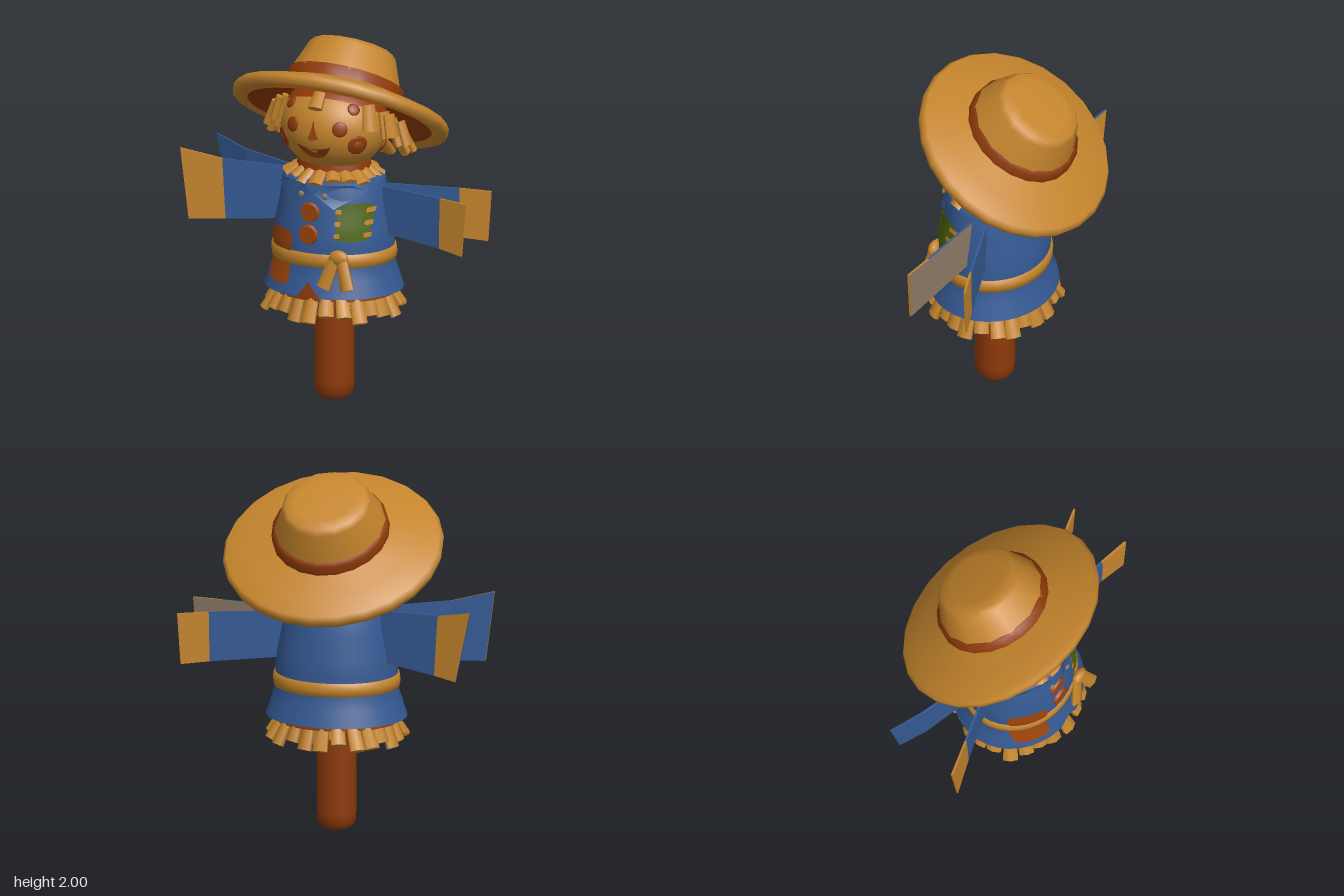
import * as THREE from 'three';
import { mergeGeometries } from 'three/addons/utils/BufferGeometryUtils.js';

const mat = (name, color, side = THREE.FrontSide) => {
  const m = new THREE.MeshStandardMaterial({ color, side });
  m.name = name;
  return m;
};

export function createModel() {
  const straw = mat('straw', 0xc4842c, THREE.DoubleSide);
  const blue = mat('blue cloth', 0x355a94, THREE.DoubleSide);
  const rust = mat('rust brown', 0x8e3a09, THREE.DoubleSide);
  const orange = mat('button orange', 0x9c440c, THREE.DoubleSide);
  const green = mat('green patch', 0x4d660a, THREE.DoubleSide);
  const lining = mat('grey lining', 0x8c7a66, THREE.DoubleSide);

  const root = new THREE.Group();
  const CZ = 0.11, SQUASH = 0.88;
  const add = (name, geo, material, parent = root) => {
    const m = new THREE.Mesh(geo, material);
    m.name = name;
    parent.add(m);
    return m;
  };
  const v2 = (pts) => pts.map(([x, y]) => new THREE.Vector2(x, y));
  const lathe = (pts, n = 32) => new THREE.LatheGeometry(v2(pts), n);

  // Surface helpers: drape a flat geometry over the coat or the face
  const coatProfile = [[0.385, 0.635], [0.355, 0.73], [0.33, 0.81], [0.335, 0.9], [0.325, 1.0], [0.3, 1.12], [0.285, 1.24], [0.26, 1.265], [0.17, 1.285]];
  const coatRadius = (y) => {
    for (let i = 1; i < coatProfile.length; i++) {
      const [r0, y0] = coatProfile[i - 1], [r1, y1] = coatProfile[i];
      if (y <= y1) return r0 + (r1 - r0) * Math.max(0, (y - y0) / (y1 - y0));
    }
    return 0.17;
  };
  const coatZ = (x, y) => CZ + SQUASH * Math.sqrt(Math.max(0, coatRadius(y) ** 2 - x * x));
  const HEAD = { x: 0.295, y: 0.25, z: 0.265, cy: 1.53 };
  const faceZ = (x, y) => CZ + HEAD.z * Math.sqrt(Math.max(0, 1 - (x / HEAD.x) ** 2 - ((y - HEAD.cy) / HEAD.y) ** 2));
  const drape = (geo, surface, lift) => {
    const p = geo.attributes.position;
    for (let i = 0; i < p.count; i++) p.setZ(i, surface(p.getX(i), p.getY(i)) + lift);
    geo.computeVertexNormals();
    return geo;
  };

  // Post
  add('post', lathe([[0, 0], [0.075, 0.005], [0.105, 0.04], [0.11, 0.1], [0.108, 0.7]], 12).translate(0, 0, CZ), rust);

  // Coat with a notch in the front hem
  const coat = lathe(coatProfile, 36);
  const cp = coat.attributes.position;
  for (let i = 0; i < cp.count; i++) {
    if (cp.getY(i) < 0.65 && cp.getZ(i) > 0 && Math.abs(cp.getX(i)) < 0.01) cp.setY(i, 0.725);
  }
  add('coat', coat.scale(1, 1, SQUASH).translate(0, 0, CZ), blue);
  add('underskirt', new THREE.CylinderGeometry(0.325, 0.34, 0.1, 28).scale(1, 1, SQUASH).translate(0, 0.66, CZ), rust);
  add('belt', lathe([[0.32, 0.795], [0.343, 0.8], [0.348, 0.835], [0.343, 0.872], [0.32, 0.877]], 36)
    .scale(1, 1, SQUASH).translate(0, 0, CZ), straw);

  // Belt knot and tails
  add('beltKnot', new THREE.SphereGeometry(0.045, 10, 8).scale(1.3, 1, 0.7).translate(0.16, 0.862, 0.395), straw);
  for (const s of [-1, 1]) {
    const tail = new THREE.CylinderGeometry(0.035, 0.043, 0.2, 6).scale(1, 1, 0.5).translate(0, -0.1, 0);
    add('beltTail', tail.rotateZ(s * 0.3).rotateX(-0.2).translate(0.157 + s * 0.012, 0.885, 0.395), straw);
  }

  // Straw strands, each hung from its top end
  const strand = (x, y, z, angle, flare, len, w) =>
    new THREE.CylinderGeometry(w * 0.45, w * 0.55, len, 6).scale(1, 1, 0.55)
      .translate(0, -len / 2, 0).rotateX(-flare).rotateY(angle).translate(x, y, z);
  const fringe = (name, n, r, y, len, w, flare, shift = 0) => {
    const list = [];
    for (let i = 0; i < n; i++) {
      const a = ((i + shift) / n) * Math.PI * 2, v = Math.sin(i * 7.3);
      list.push(strand(r * Math.sin(a), y, CZ + SQUASH * r * Math.cos(a), a + v * 0.12, flare + v * 0.12, len * (1 + 0.16 * Math.cos(i * 4.1)), w));
    }
    add(name, mergeGeometries(list), straw);
  };
  fringe('skirtStraw', 24, 0.3, 0.645, 0.145, 0.085, 0.45);
  fringe('innerSkirtStraw', 14, 0.25, 0.63, 0.1, 0.085, 0.35, 0.5);
  fringe('neckStraw', 18, 0.19, 1.3, 0.085, 0.085, 0.95);

  // Neck tie and collar
  add('neckBand', new THREE.CylinderGeometry(0.2, 0.215, 0.07, 24).scale(1, 1, SQUASH).translate(0, 1.305, CZ), rust);
  for (const s of [-1, 1]) {
    const flap = new THREE.ShapeGeometry(new THREE.Shape(v2([[0.01, 1.2], [0.12, 1.125], [0.265, 1.215], [0.2, 1.25], [0.05, 1.25]].map(([x, y]) => [s * x, y]))));
    add('collar', drape(flap, coatZ, 0.025), blue);
    add('collarBead', new THREE.SphereGeometry(0.018, 8, 6).scale(1, 1, 0.5).translate(s * 0.07, 1.195, coatZ(0.07, 1.195) + 0.025), lining);
  }

  // Buttons and rounded sewn patches
  for (const y of [0.975, 1.095]) {
    add('button', new THREE.CylinderGeometry(0.05, 0.058, 0.016, 12).rotateX(Math.PI / 2).translate(-0.02, y, coatZ(0, y) + 0.005), orange);
  }
  const patch = (name, x, y, w, h, material, lift = 0.008) => {
    const g = new THREE.PlaneGeometry(w, h, 8, 8), p = g.attributes.position;
    for (let i = 0; i < p.count; i++) {
      const u = p.getX(i) / w, v = p.getY(i) / h;
      p.setXY(i, x + u * w * (1 - 0.5 * v * v), y + v * h * (1 - 0.4 * u * u));
    }
    add(name, drape(g, coatZ, lift), material);
  };
  patch('greenPatch', 0.21, 1.048, 0.155, 0.205, green, 0.009);
  patch('upperRustPatch', -0.21, 0.918, 0.175, 0.13, orange);
  patch('lowerRustPatch', -0.215, 0.755, 0.17, 0.135, orange);
  for (const y of [0.98, 1.045, 1.11]) {
    for (const x of [0.14, 0.275]) patch('stitch', x, y, 0.03, 0.026, straw, 0.011);
  }

  // Sleeves: open pairs of thin cloth panels; columns are [xBottom, yBottom, xTop, yTop, z]
  const slab = (name, s, c0, c1, front, back) => {
    const g = new THREE.BoxGeometry(1, 1, 1), p = g.attributes.position;
    for (let i = 0; i < p.count; i++) {
      const u = 0.5 + s * p.getX(i), v = p.getY(i) + 0.5;
      const c = c0.map((k, j) => k + (c1[j] - k) * u);
      p.setXYZ(i, s * (c[0] + (c[2] - c[0]) * v), c[1] + (c[3] - c[1]) * v, c[4] + p.getZ(i) * 0.012);
    }
    g.computeVertexNormals();
    add(name, g, [front, front, front, front, front, back]);
  };
  // The first pair of materials is seen from the front, the second from behind: [sleeve, cuff]
  const sleeve = (name, s, cols, front, back) => {
    slab(name + 'Sleeve', s, cols[0], cols[1], front[0], back[0]);
    slab(name + 'Cuff', s, cols[1], cols[2], front[1], back[1]);
  };
  const cuffed = [blue, straw], plain = [blue, blue];
  sleeve('leftFront', 1, [[0.22, 0.96, 0.22, 1.215, 0.1], [0.66, 0.925, 0.665, 1.205, 0.185], [0.81, 0.905, 0.835, 1.2, 0.22]], cuffed, [lining, lining]);
  sleeve('leftBack', 1, [[0.2, 0.96, 0.2, 1.21, 0.05], [0.66, 0.925, 0.665, 1.2, -0.07], [0.81, 0.91, 0.83, 1.19, -0.115]], cuffed, cuffed);
  sleeve('rightFront', -1, [[0.22, 0.97, 0.22, 1.25, 0.09], [0.6, 0.95, 0.62, 1.285, 0.205], [0.79, 0.945, 0.84, 1.335, 0.27]], cuffed, plain);
  sleeve('rightBack', -1, [[0.2, 0.97, 0.2, 1.24, 0.05], [0.6, 0.935, 0.62, 1.27, -0.08], [0.74, 0.925, 0.82, 1.315, -0.15]], plain, cuffed);

  // Head and brown scalp tilted with the hat
  const TILT = -0.555;
  add('head', new THREE.SphereGeometry(1, 32, 22).scale(HEAD.x, HEAD.y, HEAD.z).translate(0, HEAD.cy, CZ), straw);
  add('scalp', new THREE.SphereGeometry(1.03, 28, 12, 0, Math.PI * 2, 0, 1.3).rotateX(TILT)
    .scale(HEAD.x, HEAD.y, HEAD.z).translate(0, HEAD.cy, CZ), rust);

  // Face spots: shallow domes turned to the head's normal; side -1 puts one on the back
  const spot = (name, x, y, r, material, depth = 0.012, side = 1) => {
    const z = CZ + side * (faceZ(x, y) - CZ);
    const m = add(name, new THREE.SphereGeometry(1, 16, 8).scale(r, r, depth), material);
    m.position.set(x, y, z);
    m.lookAt(x + x / HEAD.x ** 2, y + (y - HEAD.cy) / HEAD.y ** 2, z + (z - CZ) / HEAD.z ** 2);
  };
  for (const s of [-1, 1]) {
    spot('eye', s * 0.14, 1.567, 0.042, rust);
    spot('cheek', s * 0.217, 1.475, 0.056, rust);
    spot('cheekCentre', s * 0.217, 1.475, 0.034, orange, 0.017);
    spot('brow', s * 0.185, 1.665, 0.035, rust);
  }
  spot('backMark', 0.02, 1.43, 0.045, rust, 0.012, -1);
  spot('backMark', 0.25, 1.42, 0.04, rust, 0.012, -1);
  add('nose', new THREE.ConeGeometry(0.06, 0.1, 3).scale(1, 1, 0.8).translate(-0.005, 1.555, 0.365), rust);
  const smile = new THREE.Shape();
  smile.moveTo(-0.105, 1.468);
  smile.quadraticCurveTo(0, 1.43, 0.095, 1.468);
  smile.quadraticCurveTo(0.06, 1.392, 0, 1.392);
  smile.quadraticCurveTo(-0.07, 1.395, -0.105, 1.468);
  add('mouth', drape(new THREE.ShapeGeometry(smile, 10), faceZ, 0.009), rust);

  // Hair: two tilted rings of chunky strands below the brim
  const hair = [strand(0, 1.745, 0.29, 0, 0.75, 0.1, 0.08)];
  for (const [n, r, drop, len, shift] of [[17, 0.31, 0, 0.17, 0.5], [15, 0.355, 0.01, 0.15, 0]]) {
    for (let i = 0; i < n; i++) {
      const a = ((i + shift) / n) * Math.PI * 2, v = Math.sin(i * 5.7), front = Math.cos(a);
      if (front > 0.85) continue;
      hair.push(strand(r * Math.sin(a), 1.585 - drop + 0.165 * front, 0.05 + r * 0.8 * front,
        a + v * 0.2, 0.5 + v * 0.25, len * (1 + 0.15 * v), 0.078));
    }
  }
  add('hair', mergeGeometries(hair), straw);

  // Hat
  const hat = new THREE.Group();
  hat.name = 'hat';
  hat.position.set(-0.012, 1.58, 0);
  hat.rotation.x = TILT;
  root.add(hat);
  add('brimUnderside', lathe([[0.25, 0.08], [0.4, 0.03], [0.52, -0.035]], 28).scale(1, 1, 0.87), rust, hat);
  add('brim', lathe([[0.28, 0.095], [0.4, 0.045], [0.51, -0.02], [0.56, -0.045], [0.595, -0.035], [0.605, 0], [0.585, 0.03], [0.45, 0.068], [0.29, 0.115]], 24)
    .scale(1, 1, 0.94), straw, hat);
  add('hatBand', lathe([[0.322, 0.09], [0.318, 0.16], [0.29, 0.168]], 20).translate(0, 0, 0.015), rust, hat);
  add('crown', lathe([[0.308, 0.15], [0.245, 0.312], [0.222, 0.34], [0.16, 0.352], [0, 0.355]], 14).translate(0, 0, 0.025), straw, hat);

  return root;
}
